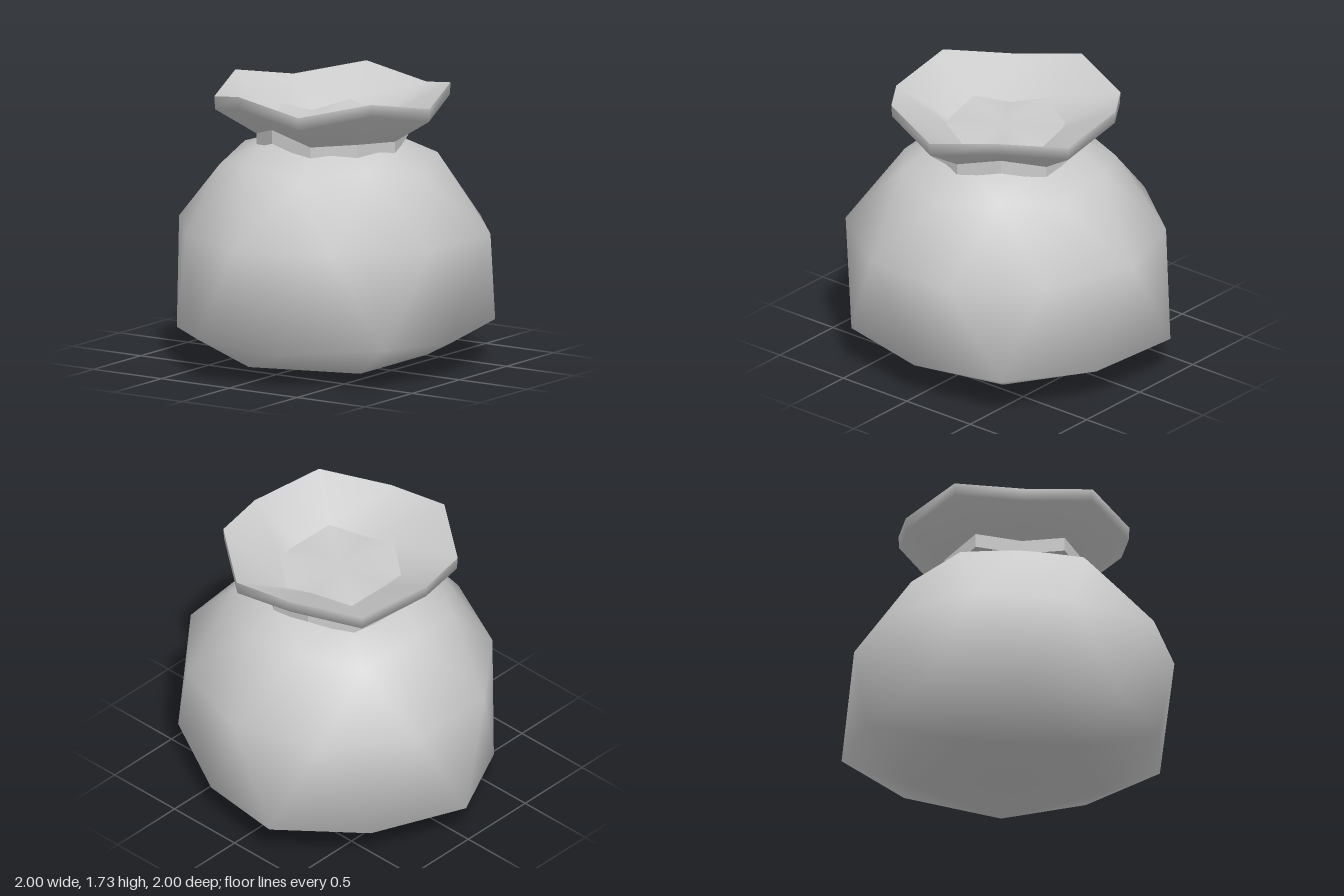
import * as THREE from 'three';

const CX = 0.065; // the mouth sits slightly off centre
const grey = (opts = {}) => new THREE.MeshStandardMaterial({ color: 0xcccccc, ...opts });

function mesh(name, points, index, material) {
  const g = new THREE.BufferGeometry();
  g.setAttribute('position', new THREE.Float32BufferAttribute(points.flat(), 3));
  g.setIndex(index);
  g.computeVertexNormals();
  const m = new THREE.Mesh(g, material);
  m.name = name;
  return m;
}

// Point on a ring: angle in degrees, radius, height, centre x
const polar = (deg, r, y, cx = 0) => {
  const a = THREE.MathUtils.degToRad(deg);
  return [cx + r * Math.cos(a), y, r * Math.sin(a)];
};

// Sack: pole, 5, 10, 10 (widest), 10, 5, pole, joined like a once-divided icosahedron
function sackBody() {
  const pts = [];
  const add = (list) => list.map((p) => pts.push(p) - 1);
  const five = (start, r, y, cx) => add([0, 1, 2, 3, 4].map((k) => polar(start + 72 * k, r, y, cx)));

  const bottom = add([[0.03, 0.005, 0]]);
  const base = five(36, 0.6, 0.045, 0.03);
  // Lower ring starts at 36 degrees; corners and in-betweens alternate
  const lower = add([
    [0.84, 0.26, 0.57], [0.29, 0.22, 0.88], [-0.28, 0.265, 0.94], [-0.72, 0.22, 0.52], [-1, 0.25, -0.02],
    [-0.73, 0.22, -0.57], [-0.29, 0.255, -1], [0.29, 0.22, -0.9], [0.84, 0.26, -0.61], [0.93, 0.22, 0],
  ]);
  // Widest ring starts at 18 degrees
  const belly = add([
    [0.99, 0.29], [0.62, 0.8], [0.03, 1], [-0.5, 0.74], [-0.87, 0.28],
    [-0.87, -0.31], [-0.5, -0.79], [0.03, -0.97], [0.62, -0.77], [1, -0.33],
  ].map(([x, z]) => [x, 0.85, z]));
  // Shoulder ring starts at 0 degrees
  const shoulder = add([...Array(10).keys()].map((k) =>
    k % 2 ? polar(36 * k, 0.64, 1.3, 0.06) : polar(36 * k, 0.67, 1.23, 0.05)));
  const collar = five(0, 0.38, 1.4, CX);
  const top = add([[CX, 1.45, 0]]);

  const idx = [];
  const tri = (a, b, c, flip) => idx.push(...(flip ? [a, c, b] : [a, b, c]));
  // Cap: pole to 5-ring to 10-ring
  const cap = (pole, inner, outer, flip) => {
    for (let k = 0; k < 5; k++) {
      const a = inner[k], b = inner[(k + 1) % 5], m = outer[2 * k + 1];
      tri(pole, a, b, flip);
      tri(a, outer[2 * k], m, flip);
      tri(a, m, b, flip);
      tri(b, m, outer[(2 * k + 2) % 10], flip);
    }
  };
  // Zigzag wall; ring t's point k + off lies half a step past ring s's point k
  const wall = (s, t, off, flip) => {
    for (let k = 0; k < 10; k++) {
      const n = (k + 1) % 10, j = (k + off) % 10;
      tri(s[k], t[j], s[n], flip);
      tri(s[n], t[j], t[(j + 1) % 10], flip);
    }
  };
  cap(bottom[0], base, lower, false);
  wall(lower, belly, 1, false);
  wall(shoulder, belly, 0, true);
  cap(top[0], collar, shoulder, true);
  return mesh('sackBody', pts, idx, grey());
}

// Ten-sided wavy ring: every other corner is raised
const wavyRing = (r, low, high, dip = 0) => [...Array(10).keys()].map((k) =>
  polar(36 * k, r, (k % 2 ? high : low) - (k === 1 ? dip : 0), CX));

// Surface through successive rings
function loft(name, rings, options) {
  const idx = [];
  for (let i = 0; i < rings.length - 1; i++) {
    for (let k = 0; k < 10; k++) {
      const a = i * 10 + k, b = i * 10 + ((k + 1) % 10);
      idx.push(a, a + 10, b, b, a + 10, b + 10);
    }
  }
  return mesh(name, rings.flat(), idx, grey({ side: THREE.DoubleSide, ...options }));
}

export function createModel() {
  const group = new THREE.Group();
  group.name = 'sack';

  const rimTop = wavyRing(0.715, 1.65, 1.73);
  const rimBottom = wavyRing(0.71, 1.57, 1.655);
  const neckTop = wavyRing(0.46, 1.42, 1.495, 0.06);
  const neckBottom = wavyRing(0.46, 1.335, 1.41, 0.06);
  const mouth = wavyRing(0.37, 1.49, 1.56);

  group.add(sackBody());
  group.add(loft('neckBand', [neckBottom, neckTop], { flatShading: true }));
  group.add(loft('flaredRimOutside', [neckTop, rimBottom, rimTop]));
  group.add(loft('flaredRimInside', [rimTop, mouth]));

  // Cloth closing the mouth
  const fan = [];
  for (let k = 0; k < 10; k++) fan.push(10, (k + 1) % 10, k);
  group.add(mesh('mouthCover', [...mouth, [CX, 1.525, 0]], fan, grey({ side: THREE.DoubleSide })));

  return group;
}
